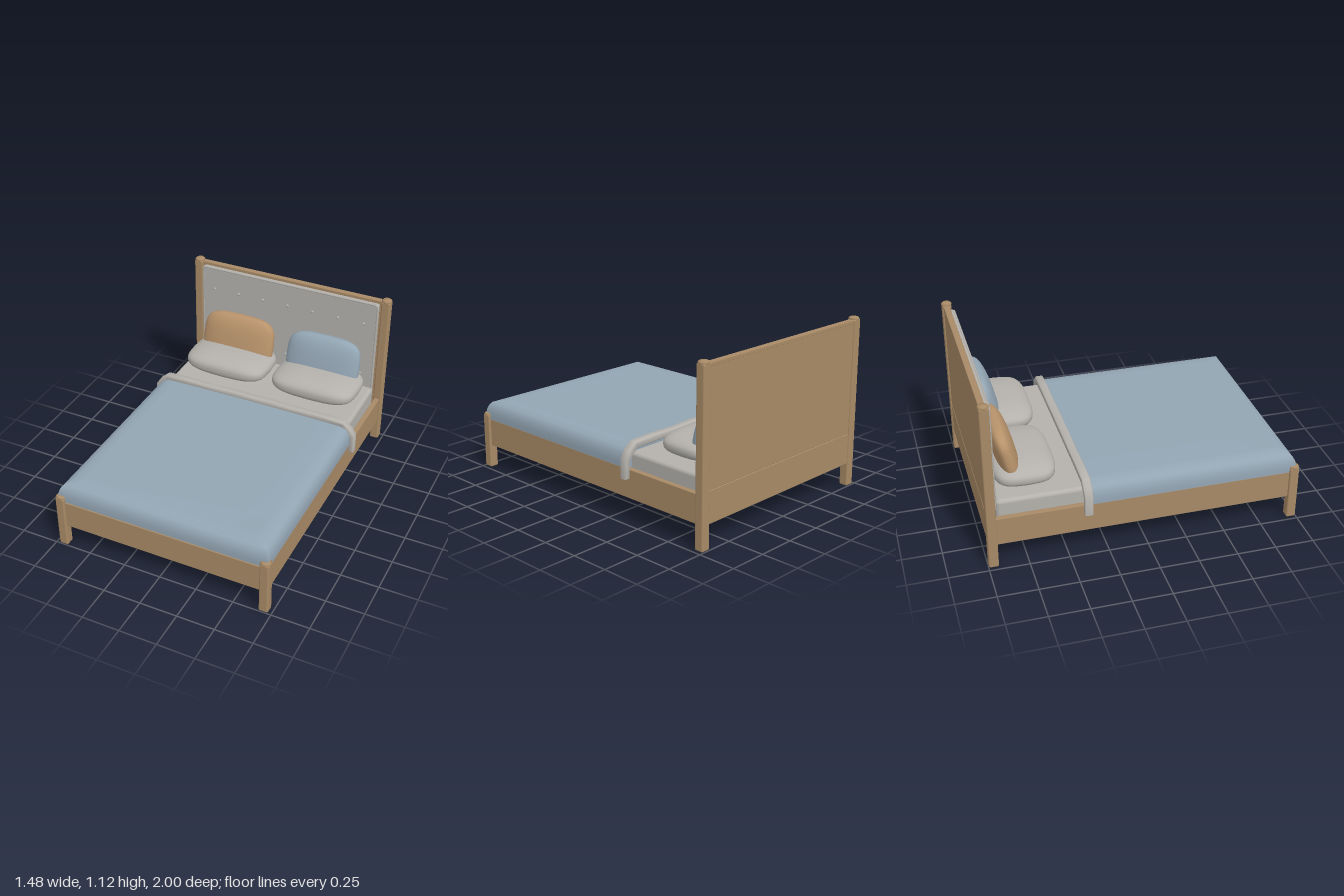
import * as THREE from 'three';
import { mergeVertices, toCreasedNormals } from 'three/addons/utils/BufferGeometryUtils.js';
import { RoundedBoxGeometry } from 'three/addons/geometries/RoundedBoxGeometry.js';

const material = (name, color) => {
  const m = new THREE.MeshStandardMaterial({ color });
  m.name = name;
  return m;
};

export function createModel() {
  const bed = new THREE.Group();
  bed.name = 'bed';
  const wood = material('oak wood', 0xa88a66);
  const linen = material('grey linen', 0xb4b1ac);
  const blue = material('blue cotton', 0x93a5b3);
  const tan = material('tan cotton', 0xb8936b);

  const add = (name, geometry, mat, x = 0, y = 0, z = 0) => {
    const mesh = new THREE.Mesh(geometry, mat);
    mesh.name = name;
    mesh.position.set(x, y, z);
    bed.add(mesh);
    return mesh;
  };
  // Box given by its limits on each axis, with optional rounded edges
  const block = (name, mat, [x0, x1], [y0, y1], [z0, z1], r = 0.004) => add(
    name, new RoundedBoxGeometry(x1 - x0, y1 - y0, z1 - z0, r > 0.01 ? 4 : 1, r), mat,
    (x0 + x1) / 2, (y0 + y1) / 2, (z0 + z1) / 2);

  // Corner posts with soft domed caps
  const cap = new THREE.LatheGeometry(
    [[0, -0.026], [0.029, -0.026], [0.035, -0.018], [0.035, -0.011], [0.027, -0.003], [0, 0]]
      .map(([x, y]) => new THREE.Vector2(x, y)), 16);
  for (const s of [-1, 1]) {
    for (const [name, z, h] of [['footPost', 0.967, 0.385], ['headPost', -0.967, 1.125]]) {
      block(name, wood, [s * 0.697 - 0.031, s * 0.697 + 0.031], [0, h - 0.015], [z - 0.031, z + 0.031], 0.011);
      add(name + 'Cap', toCreasedNormals(cap, 0.9), wood, s * 0.697, h, z);
    }
    // Side rails and the ledges carrying the slats
    block('sideRail', wood, [s * 0.695 - 0.018, s * 0.695 + 0.018], [0.155, 0.34], [-0.94, 0.94]);
    block('slatLedge', wood, [s * 0.665 - 0.014, s * 0.665 + 0.014], [0.17, 0.2], [-0.94, 0.94]);
  }
  block('footRail', wood, [-0.675, 0.675], [0.155, 0.34], [0.95, 0.985]);

  // Headboard
  block('headRail', wood, [-0.675, 0.675], [0.155, 0.36], [-0.99, -0.95]);
  block('headPanel', wood, [-0.675, 0.675], [0.361, 1.085], [-0.988, -0.952]);
  block('headTopRail', wood, [-0.675, 0.675], [1.083, 1.108], [-0.99, -0.95]);
  block('headCushion', linen, [-0.655, 0.655], [0.36, 1.088], [-0.96, -0.921], 0.014);
  const corners = [[-0.65, 0.37], [-0.65, 1.07], [-0.637, 1.083], [0.637, 1.083], [0.65, 1.07], [0.65, 0.37]];
  const piping = new THREE.CurvePath();
  for (let i = 0; i < corners.length - 1; i++) {
    piping.add(new THREE.LineCurve3(new THREE.Vector3(...corners[i], 0), new THREE.Vector3(...corners[i + 1], 0)));
  }
  add('cushionPiping', new THREE.TubeGeometry(piping, 120, 0.008, 8), linen, 0, 0, -0.927);
  const button = new THREE.SphereGeometry(0.011, 12, 8);
  for (const y of [0.925, 0.53]) {
    for (let i = -3; i <= 3; i++) add('tuftButton', button, linen, i * 0.187, y, -0.92).scale.z = 0.8;
  }

  // Slats, centre beam and its legs
  for (let i = 0; i < 14; i++) {
    const z = -0.87 + i * 0.134;
    block('slat', wood, [-0.677, 0.677], [0.2, 0.222], [z - 0.051, z + 0.051]);
  }
  block('centreBeam', wood, [-0.03, 0.03], [0.157, 0.2], [-0.95, 0.95]);
  for (const z of [0.475, -0.47]) {
    add('centreLeg', new THREE.CylinderGeometry(0.022, 0.022, 0.16, 12), wood, 0, 0.08, z);
  }

  block('mattress', linen, [-0.668, 0.668], [0.223, 0.436], [-0.925, 0.93], 0.025);

  // Duvet: a block whose upper edges roll inward at the sides and foot
  let duvet = new THREE.BoxGeometry(1.43, 0.13, 1.35, 24, 8, 24);
  duvet.deleteAttribute('normal');
  duvet.deleteAttribute('uv');
  duvet = mergeVertices(duvet);
  const p = duvet.attributes.position;
  for (let i = 0; i < p.count; i++) {
    const u = p.getX(i) / 0.715, t = p.getY(i) / 0.13 + 0.5, w = p.getZ(i) / 0.675;
    const inset = 0.075 * (1 - Math.sqrt(1 - Math.pow(t, 3) * 0.999));
    const crown = 0.006 * t * (1 - u * u) * (1 - Math.max(0, w) ** 4);
    p.setXYZ(i, u * (0.715 - inset), 0.34 + t * 0.13 + crown, w * 0.675 - inset * Math.max(0, w));
  }
  add('duvet', toCreasedNormals(duvet, 0.8), blue, 0, 0, 0.303);

  // Folded hem draped across the bed
  const edge = [[0.731, 0.29], [0.731, 0.405], [0.705, 0.445], [0.655, 0.488], [0.5, 0.494], [0.3, 0.49], [0.12, 0.497]];
  const inner = [[0, 0.473], [0.4, 0.473], [0.645, 0.468], [0.69, 0.43], [0.716, 0.395], [0.716, 0.29]];
  const flip = (list) => list.map(([x, y]) => [-x, y]).reverse();
  const outline = [...edge, [0, 0.493], ...flip(edge), ...flip(inner), ...inner.slice(1)];
  const hem = new THREE.ExtrudeGeometry(new THREE.Shape(outline.map(([x, y]) => new THREE.Vector2(x, y))),
    { depth: 0.034, bevelThickness: 0.011, bevelSize: 0.011, bevelSegments: 4 });
  add('foldedHem', toCreasedNormals(hem, 0.8), linen, 0, 0, -0.389);

  // Pillow: soft squared cushion, thinner toward its corners
  const pillowGeometry = (width, thick, depth) => {
    const pow = (v, e) => Math.sign(v) * Math.abs(v) ** e;
    let g = new THREE.SphereGeometry(1, 48, 24);
    const q = g.attributes.position;
    for (let i = 0; i < q.count; i++) {
      const y = q.getY(i), r = Math.sqrt(Math.max(0, 1 - y * y));
      const a = Math.atan2(q.getZ(i), q.getX(i)), k = pow(r, 0.55);
      const x = k * pow(Math.cos(a), 0.42), z = k * pow(Math.sin(a), 0.42);
      const pinch = 1 - 0.2 * x * x - 0.15 * z * z;
      q.setXYZ(i, x * (1 - 0.05 * z * z) * width / 2, pow(y, 0.75) * pinch * thick / 2,
        z * (1 - 0.06 * x * x) * depth / 2);
    }
    g.deleteAttribute('normal');
    g.deleteAttribute('uv');
    g = mergeVertices(g, 1e-5);
    g.computeVertexNormals();
    return g;
  };
  const sleeping = pillowGeometry(0.61, 0.165, 0.4);
  const upright = pillowGeometry(0.535, 0.14, 0.38);
  for (const s of [-1, 1]) {
    add('sleepingPillow', sleeping, linen, s * 0.328, 0.52, -0.716);
    const back = add('uprightPillow', upright, s < 0 ? tan : blue, s * 0.322, 0.622, -0.815);
    back.rotation.x = Math.PI / 2 - 0.25;
  }
  return bed;
}
